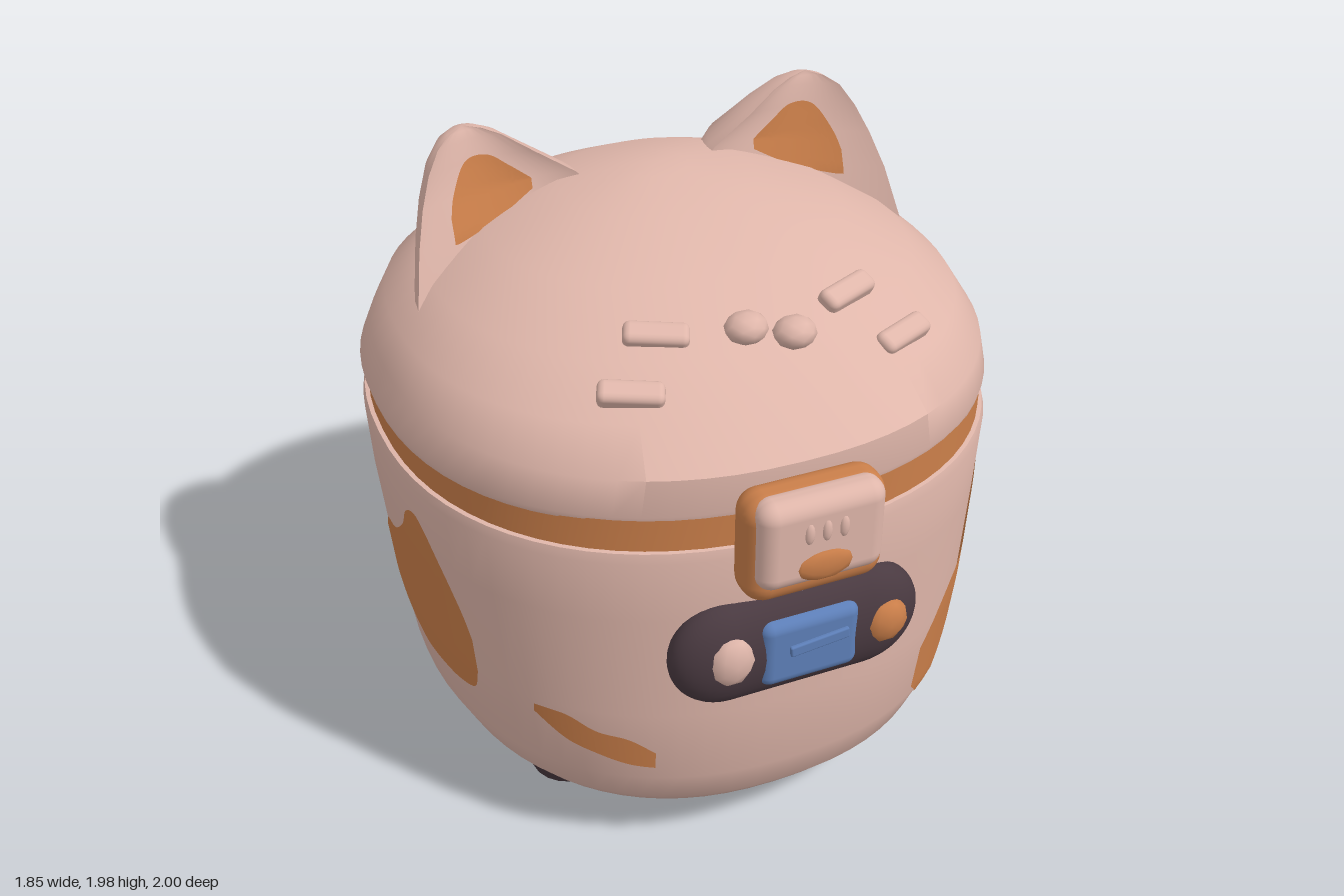
import * as THREE from 'three';
import { toCreasedNormals } from 'three/addons/utils/BufferGeometryUtils.js';
import { RoundedBoxGeometry } from 'three/addons/geometries/RoundedBoxGeometry.js';

const material = (name, color) => {
  const m = new THREE.MeshStandardMaterial({ color, side: THREE.DoubleSide });
  m.name = name;
  return m;
};
const lerp = THREE.MathUtils.lerp;

// Interpolates a table of rows, each starting with its height y
function rowAt(rows, y) {
  let i = 0;
  while (i < rows.length - 2 && y > rows[i + 1][0]) i++;
  const t = (y - rows[i][0]) / (rows[i + 1][0] - rows[i][0]);
  return rows[i].map((v, k) => lerp(v, rows[i + 1][k], t));
}

// Skins rows of points; closed rows wrap around
function skin(rows, closed, crease = 0.75) {
  const n = rows[0].length, index = [];
  for (let i = 0; i < rows.length - 1; i++) {
    for (let j = 0; j < (closed ? n : n - 1); j++) {
      const k = (j + 1) % n, a = i * n + j, b = i * n + k;
      index.push(a, a + n, b, b, a + n, b + n);
    }
  }
  const g = new THREE.BufferGeometry();
  g.setAttribute('position', new THREE.Float32BufferAttribute(rows.flat(2), 3));
  g.setIndex(index);
  return toCreasedNormals(g, crease);
}

// Rounded-square rings: y, half width, centre z, half depth
const POWER = 2.25, SEG = 72;
const soft = (v) => Math.sign(v) * Math.abs(v) ** (2 / POWER);
const loft = (rings) => skin(rings.map(([y, a, c, b]) =>
  Array.from({ length: SEG }, (_, j) => {
    const t = (j / SEG) * Math.PI * 2;
    return [a * soft(Math.cos(t)), y, c + b * soft(Math.sin(t))];
  })), true);
const across = (v) => Math.max(0, 1 - Math.abs(v) ** POWER) ** (1 / POWER);

// Maps flat coordinates onto a lofted shell
const onSide = (rings, s) => (z, y) => {
  const [, a, c, b] = rowAt(rings, y);
  return [s * (a * across((z - c) / b) + 0.007), y, z];
};
const onFace = (rings, s) => (x, y) => {
  const [, a, c, b] = rowAt(rings, y);
  return [x, y, c + s * (b * across(x / a) + 0.008)];
};

// Painted patch: columns of (position, low, high), smoothed and laid on a surface
function patch(cols, place) {
  const low = new THREE.SplineCurve(cols.map((c) => new THREE.Vector2(c[0], c[1])));
  const high = new THREE.SplineCurve(cols.map((c) => new THREE.Vector2(c[0], c[2])));
  const rows = [];
  for (let i = 0; i <= 40; i++) {
    const p = low.getPoint(i / 40), q = high.getPoint(i / 40);
    rows.push(Array.from({ length: 13 }, (_, j) => place(p.x, lerp(p.y, q.y, j / 12))));
  }
  return skin(rows, false);
}

const BODY = [
  [0.139, 0, -0.01, 0], [0.14, 0.66, -0.01, 0.7], [0.17, 0.74, -0.02, 0.77],
  [0.23, 0.79, -0.04, 0.84], [0.35, 0.85, -0.045, 0.885], [0.6, 0.885, -0.055, 0.905],
  [0.95, 0.915, -0.07, 0.925], [1.15, 0.925, -0.07, 0.93], [1.18, 0.918, -0.07, 0.923],
  [1.185, 0.88, -0.07, 0.88],
];
const BAND = [[1.17, 0.905, -0.07, 0.912], [1.28, 0.905, -0.07, 0.912]];
const LID = [
  [1.265, 0.88, -0.075, 0.88], [1.27, 0.915, -0.075, 0.91], [1.29, 0.92, -0.075, 0.915],
  [1.4, 0.885, -0.05, 0.885], [1.5, 0.83, -0.08, 0.8], [1.6, 0.71, -0.1, 0.67],
  [1.7, 0.53, -0.13, 0.48], [1.78, 0.29, -0.17, 0.27], [1.812, 0.1, -0.19, 0.09],
  [1.818, 0, -0.19, 0],
];
// Ear rows: y, inner x, outer x, inner z, outer z, depth of the back
const EAR = [
  [1.5, 0.1, 0.78, -0.2, -0.04, 0.32], [1.7, 0.13, 0.737, -0.22, -0.12, 0.3],
  [1.8, 0.22, 0.705, -0.25, -0.17, 0.26], [1.88, 0.34, 0.67, -0.26, -0.21, 0.2],
  [1.94, 0.43, 0.63, -0.28, -0.24, 0.12], [1.965, 0.485, 0.59, -0.29, -0.27, 0.06],
  [1.978, 0.54, 0.54, -0.3, -0.3, 0],
];
function earPoint([y, xi, xo, zi, zo, d], c, back) {
  const s2 = 1 - c * c;
  const z = lerp(zi, zo, (c + 1) / 2) - (back ? d * Math.sqrt(Math.max(0, s2)) : 0.2 * d * s2);
  return [lerp(xi, xo, (c + 1) / 2), y, z];
}

export function createModel() {
  const model = new THREE.Group();
  const pink = material('dusty pink', 0xdfb6aa);
  const orange = material('orange', 0xcb7f4a);
  const dark = material('dark plum', 0x4a3a41);
  const blue = material('screen blue', 0x5d7fb8);
  const add = (name, geometry, mat, x = 0, y = 0, z = 0) => {
    const m = new THREE.Mesh(geometry, mat);
    m.name = name;
    m.position.set(x, y, z);
    model.add(m);
    return m;
  };

  // Pot, seal and domed lid
  add('body', loft(BODY), pink);
  add('sealBand', loft(BAND), orange);
  add('lid', loft(LID), pink);
  add('hinge', patch([[-0.42, 1.275, 1.345], [0, 1.275, 1.35], [0.43, 1.275, 1.345]],
    onFace(LID, -1)), dark);

  // Calico patches
  add('largeSidePatch', patch([
    [0.74, 0.38, 0.53], [0.7, 0.32, 0.62], [0.65, 0.36, 0.68], [0.6, 0.42, 0.7],
    [0.51, 0.49, 0.74], [0.48, 0.5, 0.88], [0.42, 0.5, 0.97], [0.33, 0.49, 1.02],
    [0.26, 0.48, 0.98], [0.2, 0.49, 0.91], [0.1, 0.51, 0.9], [0, 0.54, 0.93],
    [-0.1, 0.57, 0.955], [-0.2, 0.59, 0.97], [-0.28, 0.6, 0.95], [-0.325, 0.64, 0.82],
  ], onSide(BODY, 1)), orange);
  add('smallSidePatch', patch([
    [-0.16, 0.62, 0.78], [-0.1, 0.55, 0.85], [0, 0.52, 0.88], [0.1, 0.5, 0.96],
    [0.15, 0.5, 1.04], [0.22, 0.5, 1.06], [0.3, 0.5, 0.96], [0.37, 0.52, 0.82],
    [0.4, 0.6, 0.72],
  ], onSide(BODY, -1)), orange);
  add('frontPatch', patch([
    [-0.69, 0.55, 0.58], [-0.62, 0.475, 0.575], [-0.55, 0.44, 0.53],
    [-0.47, 0.41, 0.51], [-0.4, 0.4, 0.46],
  ], onFace(BODY, 1)), orange);
  add('lowerBackPatch', patch([
    [-0.57, 0.16, 0.18], [-0.64, 0.16, 0.21], [-0.68, 0.17, 0.235], [-0.71, 0.19, 0.23],
  ], onSide(BODY, 1)), orange);

  // Feet
  const foot = new THREE.LatheGeometry([[0, 0], [0.1, 0], [0.12, 0.015], [0.155, 0.1],
    [0.175, 0.15], [0.17, 0.2]].map((p) => new THREE.Vector2(...p)), 20);
  for (const x of [-0.49, 0.49]) {
    for (const z of [0.25, -0.4]) add('foot', toCreasedNormals(foot, 0.7), dark, x, 0, z);
  }

  // Ears with a hollowed front and a coloured inside
  for (const s of [1, -1]) {
    const rows = EAR.map((r) => Array.from({ length: 40 }, (_, j) => {
      const [x, y, z] = earPoint(r, Math.cos((j / 40) * Math.PI * 2), j > 20);
      return [s * x, y, z];
    }));
    if (s < 0) rows.forEach((r) => r.reverse());
    add('ear', skin(rows, true, 0.9), pink);
    add('innerEar', patch([
      [0.355, 1.77, 1.8], [0.42, 1.735, 1.85], [0.48, 1.71, 1.89], [0.55, 1.69, 1.885],
      [0.6, 1.68, 1.81], [0.62, 1.68, 1.75],
    ], (x, y) => {
      const r = rowAt(EAR, y);
      const p = earPoint(r, (2 * (x - r[1])) / (r[2] - r[1]) - 1, false);
      return [s * p[0], y, p[2] + 0.008];
    }), orange);
  }

  // Raised marks on the lid: four bars and two pebbles
  for (const [x, y, z] of [[-0.26, 1.635, 0.46], [-0.38, 1.55, 0.58], [0.31, 1.64, 0.45], [0.43, 1.54, 0.565]]) {
    const s = Math.sign(x);
    add('lidBar', new RoundedBoxGeometry(0.18, 0.06, 0.07, 2, 0.02), pink, x, y, z)
      .rotation.set(0.5, s * 0.36, -s * 0.12);
  }
  const pebble = new THREE.IcosahedronGeometry(1, 1);
  for (const [x, y, z] of [[-0.025, 1.64, 0.52], [0.1, 1.62, 0.56]]) {
    add('lidPebble', pebble, pink, x, y, z).scale.set(0.062, 0.045, 0.058);
  }

  // Latch with a snout
  add('latchBase', new RoundedBoxGeometry(0.41, 0.33, 0.15, 4, 0.065), orange, 0, 1.21, 0.885);
  add('latchFront', new RoundedBoxGeometry(0.37, 0.275, 0.11, 4, 0.05), pink, 0, 1.24, 0.93);
  add('latchNose', pebble, orange, 0, 1.17, 0.98).scale.set(0.085, 0.05, 0.02);
  for (const x of [-0.05, 0, 0.05]) {
    add('latchCrease', pebble, pink, x, 1.28, 0.982).scale.set(0.015, 0.035, 0.012);
  }

  // Control panel
  const panel = new THREE.CapsuleGeometry(0.173, 0.415, 10, 28);
  panel.rotateZ(Math.PI / 2).scale(1, 1, 0.52);
  add('controlPanel', panel, dark, 0, 0.825, 0.825);
  add('screen', new RoundedBoxGeometry(0.3, 0.22, 0.08, 3, 0.035), blue, 0.01, 0.83, 0.882);
  add('screenBar', new RoundedBoxGeometry(0.18, 0.035, 0.016, 2, 0.006), blue, 0.03, 0.85, 0.924)
    .rotation.z = 0.1;
  add('leftButton', pebble, pink, -0.22, 0.84, 0.89).scale.set(0.07, 0.085, 0.045);
  add('rightButton', pebble, orange, 0.25, 0.835, 0.89).scale.set(0.07, 0.075, 0.045);

  return model;
}
